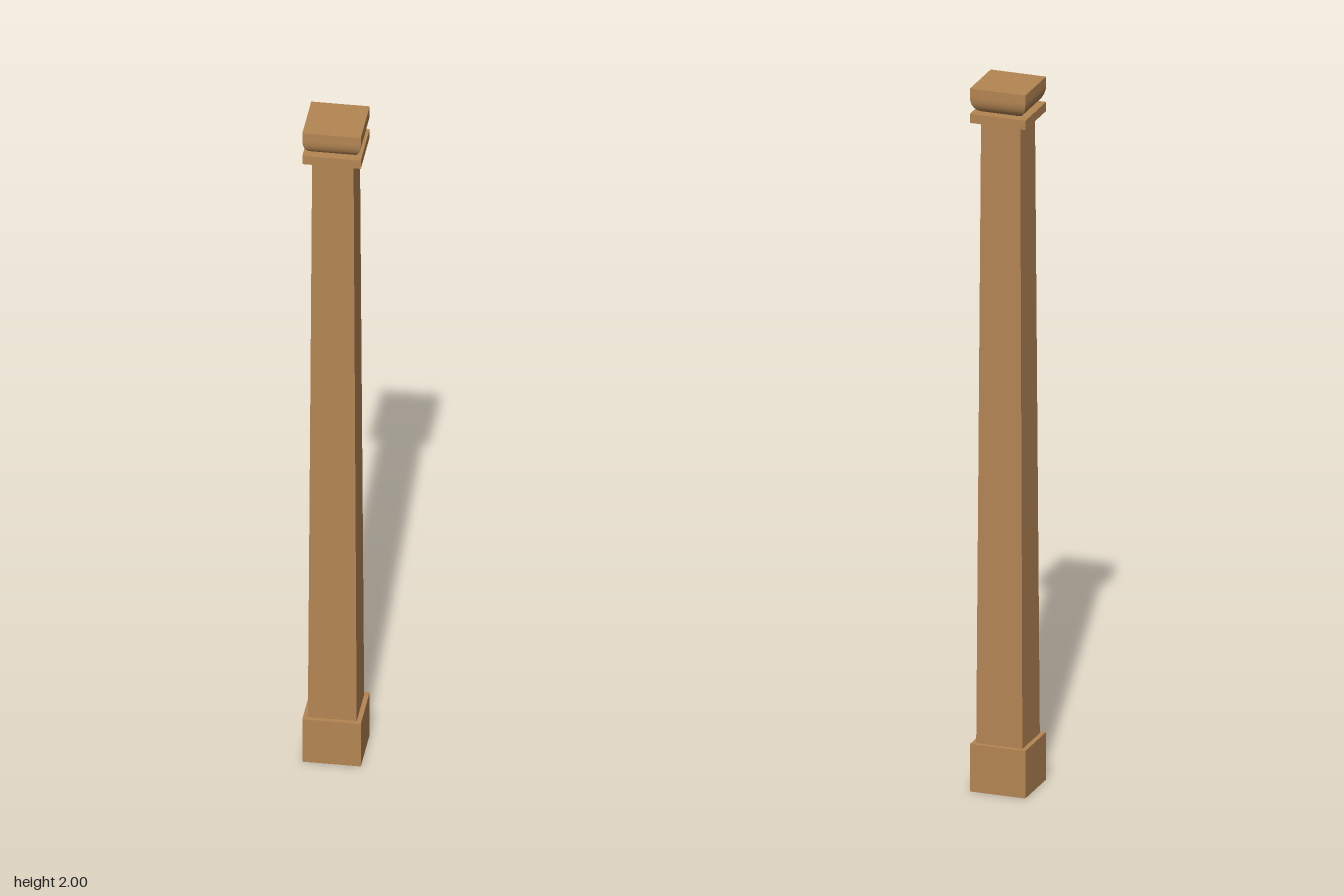
import * as THREE from 'three';

// Square-section surface swept up a profile of [halfWidth, y] points:
// smooth along the profile, sharp at the four corners.
function squareLoft(profile) {
  const pos = [], idx = [];
  for (let s = 0; s < 4; s++) {
    const base = pos.length / 3, a = (s * Math.PI) / 2;
    const c = Math.round(Math.cos(a)), n = Math.round(Math.sin(a));
    for (const [r, y] of profile) {
      for (const x of [-r, r]) pos.push(x * c + r * n, y, -x * n + r * c);
    }
    for (let i = 0; i < profile.length - 1; i++) {
      const k = base + i * 2;
      idx.push(k, k + 1, k + 3, k, k + 3, k + 2);
    }
  }
  const g = new THREE.BufferGeometry();
  g.setAttribute('position', new THREE.Float32BufferAttribute(pos, 3));
  g.setIndex(idx);
  g.computeVertexNormals();
  return g;
}

export function createModel() {
  const group = new THREE.Group();
  const wood = new THREE.MeshStandardMaterial({ color: 0xb48654, side: THREE.DoubleSide });
  wood.name = 'wood';

  const add = (name, ...profiles) => {
    const part = new THREE.Group();
    part.name = name;
    for (const p of profiles) {
      const mesh = new THREE.Mesh(squareLoft(p), wood);
      mesh.name = name + 'Surface';
      part.add(mesh);
    }
    group.add(part);
  };

  const W = 0.079; // half width of base, collar and cap

  // Plinth, hollow underneath, with a ledge around the shaft
  add('base', [[W, 0], [W, 0.135]], [[W, 0.135], [0.066, 0.135]]);

  // Tapered shaft
  add('shaft', [[0.066, 0.135], [0.056, 1.902]]);

  // Thin square collar
  add('collar',
    [[0.056, 1.902], [W, 1.902]],
    [[W, 1.902], [W, 1.928]],
    [[W, 1.928], [0, 1.928]]);

  // Cap: quarter-round flare, upright band, flat top
  const flare = [];
  for (let i = 0; i <= 10; i++) {
    const t = (i / 10) * Math.PI / 2;
    flare.push([0.045 + (W - 0.045) * Math.sin(t), 1.974 - 0.046 * Math.cos(t)]);
  }
  add('cap', flare, [[W, 1.974], [W, 2]], [[W, 2], [0, 2]]);

  return group;
}
